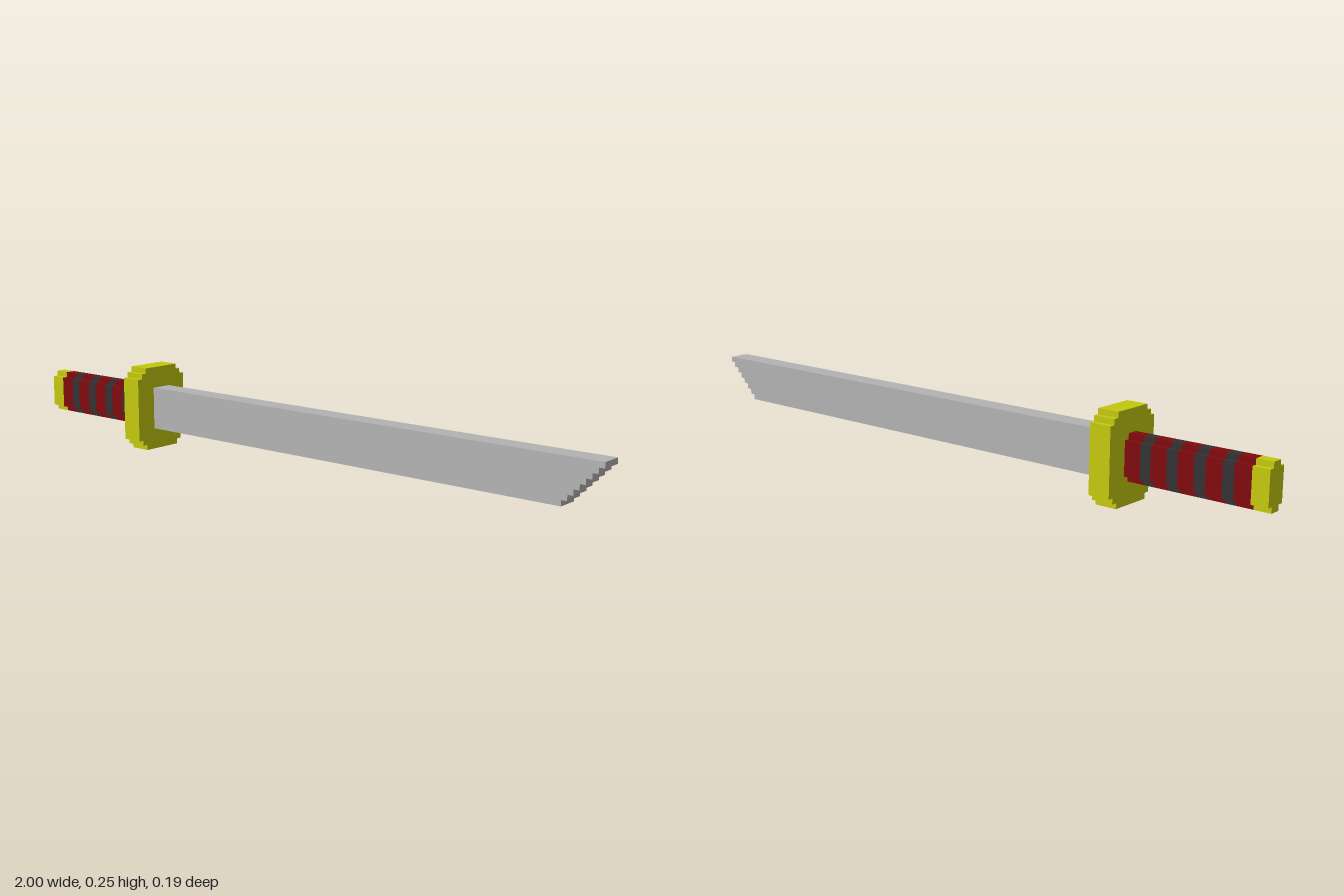
import * as THREE from 'three';

const U = 2 / 126; // one block

const mat = (name, color) => {
  const m = new THREE.MeshStandardMaterial({ color });
  m.name = name;
  return m;
};

// Stepped outline from the upper right corner points, mirrored to all four quarters
function steppedShape(quarter) {
  const back = [...quarter].reverse();
  const pts = [
    ...quarter,
    ...back.map(([z, y]) => [z, -y]),
    ...quarter.map(([z, y]) => [-z, -y]),
    ...back.map(([z, y]) => [-z, y]),
  ];
  return new THREE.Shape(pts.map(([z, y]) => new THREE.Vector2(z * U, y * U)));
}

// Extrude a cross-section along x, from block x0 to block x1
function alongX(name, shape, x0, x1, material) {
  const geo = new THREE.ExtrudeGeometry(shape, { depth: (x1 - x0) * U, bevelEnabled: false });
  geo.rotateY(Math.PI / 2);
  geo.translate(x0 * U, 8 * U, 0);
  const mesh = new THREE.Mesh(geo, material);
  mesh.name = name;
  return mesh;
}

export function createModel() {
  const group = new THREE.Group();
  group.name = 'sword';
  const gold = mat('yellow gold', 0xc4c90f);
  const steel = mat('steel grey', 0xb3b3b3);
  const red = mat('dark red', 0x800a0e);
  const dark = mat('charcoal', 0x333335);

  const gripShape = steppedShape([[1, 4], [1, 3], [2, 3]]);
  const guardShape = steppedShape([[4, 8], [4, 7], [5, 7], [5, 6], [6, 6]]);

  group.add(alongX('pommel', gripShape, -63, -60, gold));
  group.add(alongX('guard', guardShape, -37, -33, gold));

  // Grip: red bands three blocks long, dark bands two blocks long
  const grip = new THREE.Group();
  grip.name = 'grip';
  for (let i = 0, x = -60; i < 9; i++) {
    const len = i % 2 ? 2 : 3;
    grip.add(alongX(i % 2 ? 'darkBand' : 'redBand', gripShape, x, x + len, i % 2 ? dark : red));
    x += len;
  }
  group.add(grip);

  // Blade: side profile with a staircase tip
  const profile = new THREE.Shape();
  profile.moveTo(-33 * U, 12 * U);
  profile.lineTo(-33 * U, 4 * U);
  for (let i = 0; i < 8; i++) {
    profile.lineTo((56 + i) * U, (4 + i) * U);
    profile.lineTo((56 + i) * U, (5 + i) * U);
  }
  const bladeGeo = new THREE.ExtrudeGeometry(profile, { depth: 4 * U, bevelEnabled: false });
  bladeGeo.translate(0, 0, -2 * U);
  const blade = new THREE.Mesh(bladeGeo, steel);
  blade.name = 'blade';
  group.add(blade);

  return group;
}
